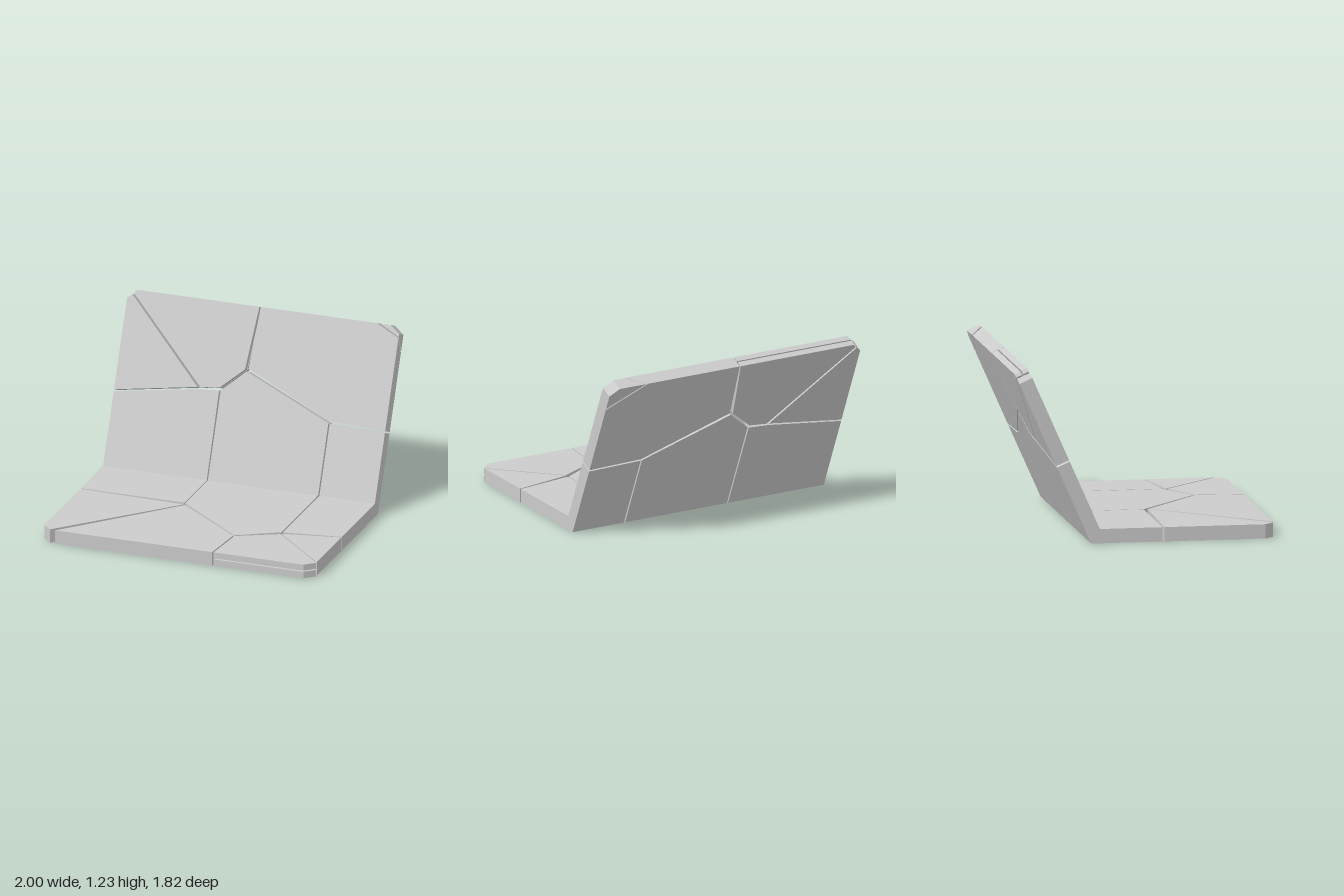
import * as THREE from 'three';

const material = new THREE.MeshStandardMaterial({ color: 0xcccccc, flatShading: true });
const CREASE_Z = -0.32, CREASE_Y = 0.1;

// Lying slab: (x, z) on its top face, d = 0 top .. 1 underside, mitred at the crease
function onBase(x, z, d) {
  return new THREE.Vector3(x, 0.1 - 0.1 * d, z === CREASE_Z ? z - 0.06 * d : z);
}

// Leaning slab: (x, height) on its front face, d = 0 front .. 1 rear, mitred at the crease
function onBack(x, y, d) {
  const t = (y - CREASE_Y) / 1.13;
  const [dy, dz] = t === 0 ? [0.1, 0.06] : [0.039, 0.089];
  return new THREE.Vector3(x, y - dy * d, CREASE_Z - 0.5 * t - dz * d);
}

// Convex shard between two matching outlines at depths d0 and d1
function shard(name, place, outer, { inner = outer, d0 = 0, d1 = 1 } = {}) {
  const crease = place === onBase ? CREASE_Z : CREASE_Y;
  const area = outer.reduce((sum, [x, v], i) => {
    const [x2, v2] = outer[(i + 1) % outer.length];
    return sum + x * v2 - x2 * v;
  }, 0);
  const flip = (area > 0) === (place === onBase);
  const a = flip ? [...outer].reverse() : outer;
  const b = flip ? [...inner].reverse() : inner;
  const A = a.map(([x, v]) => place(x, v, d0));
  const B = b.map(([x, v]) => place(x, v, d1));
  const corners = [];
  for (let i = 1; i < A.length - 1; i++) {
    corners.push(A[0], A[i], A[i + 1], B[0], B[i + 1], B[i]);
  }
  for (let i = 0; i < A.length; i++) {
    const j = (i + 1) % A.length;
    // the two slabs join at the crease, so no wall there
    if (a[i][1] === crease && a[j][1] === crease) continue;
    corners.push(A[i], B[i], B[j], A[i], B[j], A[j]);
  }
  const geometry = new THREE.BufferGeometry().setFromPoints(corners);
  geometry.computeVertexNormals();
  const mesh = new THREE.Mesh(geometry, material);
  mesh.name = name;
  return mesh;
}

export function createModel() {
  const model = new THREE.Group();
  model.name = 'crackedBentSlab';

  // Lying slab
  const base = new THREE.Group();
  base.name = 'baseSlab';
  const frontLeft = [[0.27, 0.91], [0.93, 0.91], [1, 0.845], [0.583, 0.435], [0.3, 0.578]];
  base.add(
    shard('baseRearRight', onBase, [[-1, CREASE_Z], [-1, 0.12], [-0.237, 0.12], [-0.237, CREASE_Z]]),
    shard('baseCentre', onBase,
      [[-0.229, CREASE_Z], [-0.229, 0.125], [0.295, 0.565], [0.58, 0.4], [0.58, CREASE_Z]]),
    shard('baseRearLeft', onBase, [[0.59, CREASE_Z], [0.59, 0.4], [1, 0.335], [1, CREASE_Z]]),
    shard('baseFrontRight', onBase, [[-1, 0.132], [-1, 0.84], [-0.935, 0.905], [-0.23, 0.152]]),
    shard('baseFront', onBase, [[-0.895, 0.91], [0.26, 0.91], [0.288, 0.575], [-0.22, 0.162]]),
    shard('baseSideLeft', onBase, [[0.59, 0.425], [1, 0.83], [1, 0.345]]),
    // split through its thickness
    shard('baseFrontLeftUpper', onBase, frontLeft, { d1: 0.44 }),
    shard('baseFrontLeftLower', onBase, frontLeft, { d0: 0.52 }),
  );

  // Leaning slab
  const back = new THREE.Group();
  back.name = 'backSlab';
  const upperMiddle = [[-0.935, 1.23], [-0.035, 1.23], [-0.075, 0.825], [-0.24, 0.69],
    [-0.38, 0.677], [-0.955, 1.207]];
  back.add(
    shard('backLowerRight', onBack,
      [[-1, CREASE_Y], [-1, 0.577], [-0.4, 0.662], [-0.24, 0.672], [-0.237, CREASE_Y]]),
    shard('backCentre', onBack, [[-0.229, CREASE_Y], [-0.229, 0.675], [-0.06, 0.815],
      [0.582, 0.562], [0.582, CREASE_Y]]),
    shard('backLowerLeft', onBack, [[0.592, CREASE_Y], [0.592, 0.56], [1, 0.55], [1, CREASE_Y]]),
    shard('backUpperRight', onBack, [[-1, 0.588], [-1, 1.17], [-0.965, 1.2], [-0.4, 0.675]]),
    shard('backUpperLeft', onBack,
      [[-0.05, 0.832], [-0.025, 1.23], [0.83, 1.23], [1, 1.155], [1, 0.561], [0.59, 0.573]],
      { inner: [[-0.05, 0.832], [-0.025, 1.23], [0.7, 1.23], [1, 1.065], [1, 0.561], [0.59, 0.573]] }),
    // chip with a slanting break
    shard('backCornerChip', onBack, [[0.85, 1.23], [0.93, 1.23], [1, 1.18], [1, 1.163]],
      { inner: [[0.72, 1.23], [0.93, 1.23], [1, 1.18], [1, 1.077]], d0: 0.03 }),
    // split through its thickness
    shard('backUpperMiddleFront', onBack, upperMiddle, { d1: 0.44 }),
    shard('backUpperMiddleRear', onBack, upperMiddle, { d0: 0.54 }),
  );

  model.add(base, back);
  return model;
}
